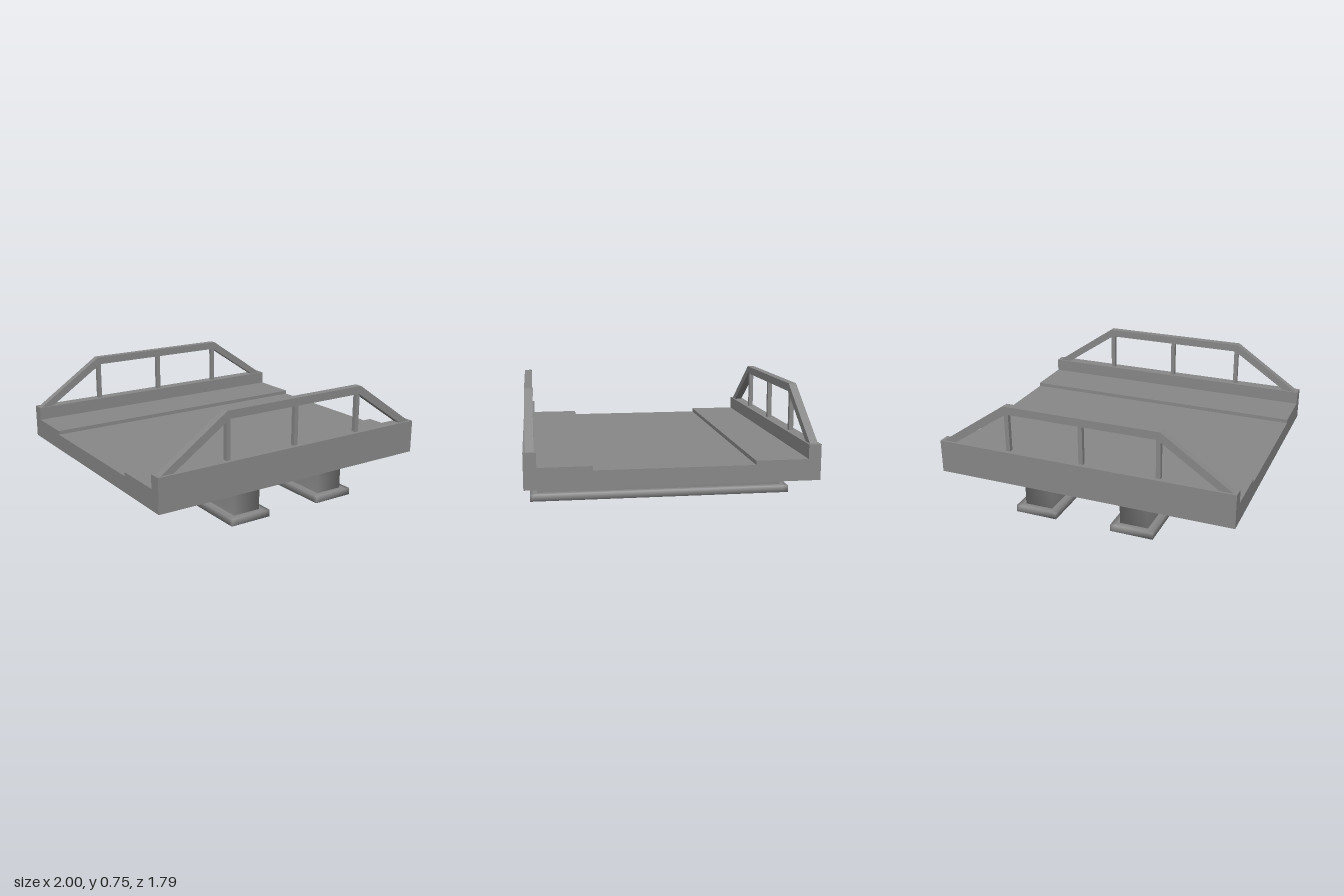
import * as THREE from 'three';
import { mergeVertices } from 'three/addons/utils/BufferGeometryUtils.js';

const material = new THREE.MeshStandardMaterial({ color: 0x888888 });

function addPart(parent, name, geometry, x = 0, y = 0, z = 0) {
  const mesh = new THREE.Mesh(geometry, material);
  mesh.name = name;
  mesh.position.set(x, y, z);
  parent.add(mesh);
  return mesh;
}

const toPoints = (list) => list.map(([x, y]) => new THREE.Vector2(x, y));

// Extrusion centred on its own depth
function extrude(shape, depth) {
  return new THREE.ExtrudeGeometry(shape, { depth, bevelEnabled: false }).translate(0, 0, -depth / 2);
}

// Shares the vertices of neighbouring faces, so they shade smoothly around the corners
function soften(geometry) {
  geometry.deleteAttribute('normal');
  geometry.deleteAttribute('uv');
  const merged = mergeVertices(geometry);
  merged.computeVertexNormals();
  return merged;
}

// Four softly shaded walls, open where they meet the deck and the footing
function createColumn(w, h, d) {
  const geometry = new THREE.BoxGeometry(w, h, d);
  const index = Array.from(geometry.index.array);
  geometry.setIndex([...index.slice(0, 12), ...index.slice(24)]);
  return soften(geometry);
}

// Softly shaded slab with a narrow rim around its flat top and bottom
function createFooting(w, h, d) {
  const rim = 0.03;
  const geometry = new THREE.BoxGeometry(w, h, d, 3, 1, 3);
  const position = geometry.attributes.position;
  const toRim = (v, size) => (Math.abs(v) < size * 0.4 ? Math.sign(v) * (size / 2 - rim) : v);
  for (let i = 0; i < position.count; i++) {
    position.setX(i, toRim(position.getX(i), w));
    position.setZ(i, toRim(position.getZ(i), d));
  }
  return soften(geometry);
}

// Deck cross-section: roadway, raised sidewalks and kerb walls
function createDeck() {
  const half = [[0.895, 0.213], [0.895, 0.435], [0.817, 0.435], [0.817, 0.346], [0.49, 0.346], [0.49, 0.32]];
  const mirrored = half.map(([x, y]) => [-x, y]).reverse();
  const geometry = extrude(new THREE.Shape(toPoints([...half, ...mirrored])), 2);
  return geometry.rotateY(Math.PI / 2);
}

// Railing: one sloped frame with three posts
function createRailing() {
  const railing = new THREE.Group();
  const frame = new THREE.Shape(toPoints([
    [-0.975, 0.435], [-0.89, 0.435], [-0.505, 0.693], [0.505, 0.693],
    [0.89, 0.435], [0.975, 0.435], [0.52, 0.745], [-0.52, 0.745],
  ]));
  addPart(railing, 'railingFrame', extrude(frame, 0.05));
  for (const x of [-0.508, 0, 0.508]) {
    addPart(railing, 'railingPost', new THREE.BoxGeometry(0.029, 0.265, 0.029), x, 0.565, 0);
  }
  return railing;
}

// Pier: wall-like column on a wider footing
function createPier(columnWidth, columnLength, footingLength, footingHeight) {
  const pier = new THREE.Group();
  const columnHeight = 0.213 - footingHeight;
  const column = createColumn(columnWidth, columnHeight, columnLength);
  addPart(pier, 'pierColumn', column, 0, footingHeight + columnHeight / 2, 0);
  const footing = createFooting(0.285, footingHeight, footingLength);
  addPart(pier, 'pierFooting', footing, 0, footingHeight / 2, 0);
  return pier;
}

export function createModel() {
  const model = new THREE.Group();
  model.name = 'bridgeSection';
  addPart(model, 'deck', createDeck());

  for (const side of [-1, 1]) {
    const railing = createRailing();
    railing.name = side > 0 ? 'frontRailing' : 'backRailing';
    railing.position.z = side * 0.855;
    model.add(railing);

    const pier = createPier(0.19, 1.635, 1.725, 0.045);
    pier.name = side > 0 ? 'leftPier' : 'rightPier';
    pier.position.x = side * 0.333;
    model.add(pier);
  }

  const middlePier = createPier(0.21, 0.68, 0.76, 0.055);
  middlePier.name = 'middlePier';
  model.add(middlePier);
  return model;
}
